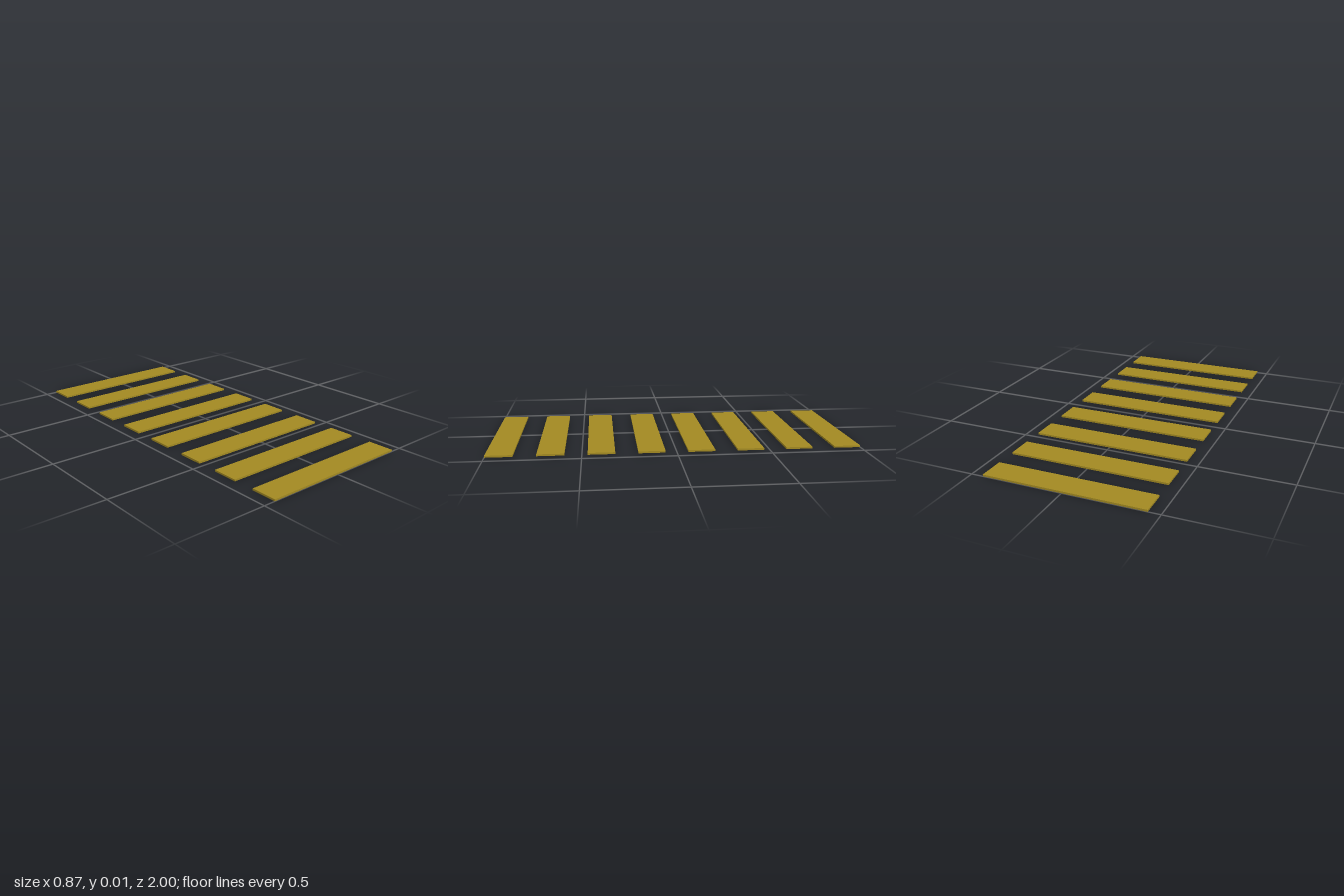
import * as THREE from 'three';

export function createModel() {
  const model = new THREE.Group();
  model.name = 'slatRow';

  const count = 8, width = 0.87, height = 0.01, depth = 0.144;
  const pitch = (2 - depth) / (count - 1);
  const geometry = new THREE.BoxGeometry(width, height, depth);
  const material = new THREE.MeshStandardMaterial({ color: 0xa38a22 });

  // Evenly spaced flat slats, front to back
  for (let i = 0; i < count; i++) {
    const slat = new THREE.Mesh(geometry, material);
    slat.name = `slat${i + 1}`;
    slat.position.set(0, height / 2, 1 - depth / 2 - i * pitch);
    model.add(slat);
  }
  return model;
}
